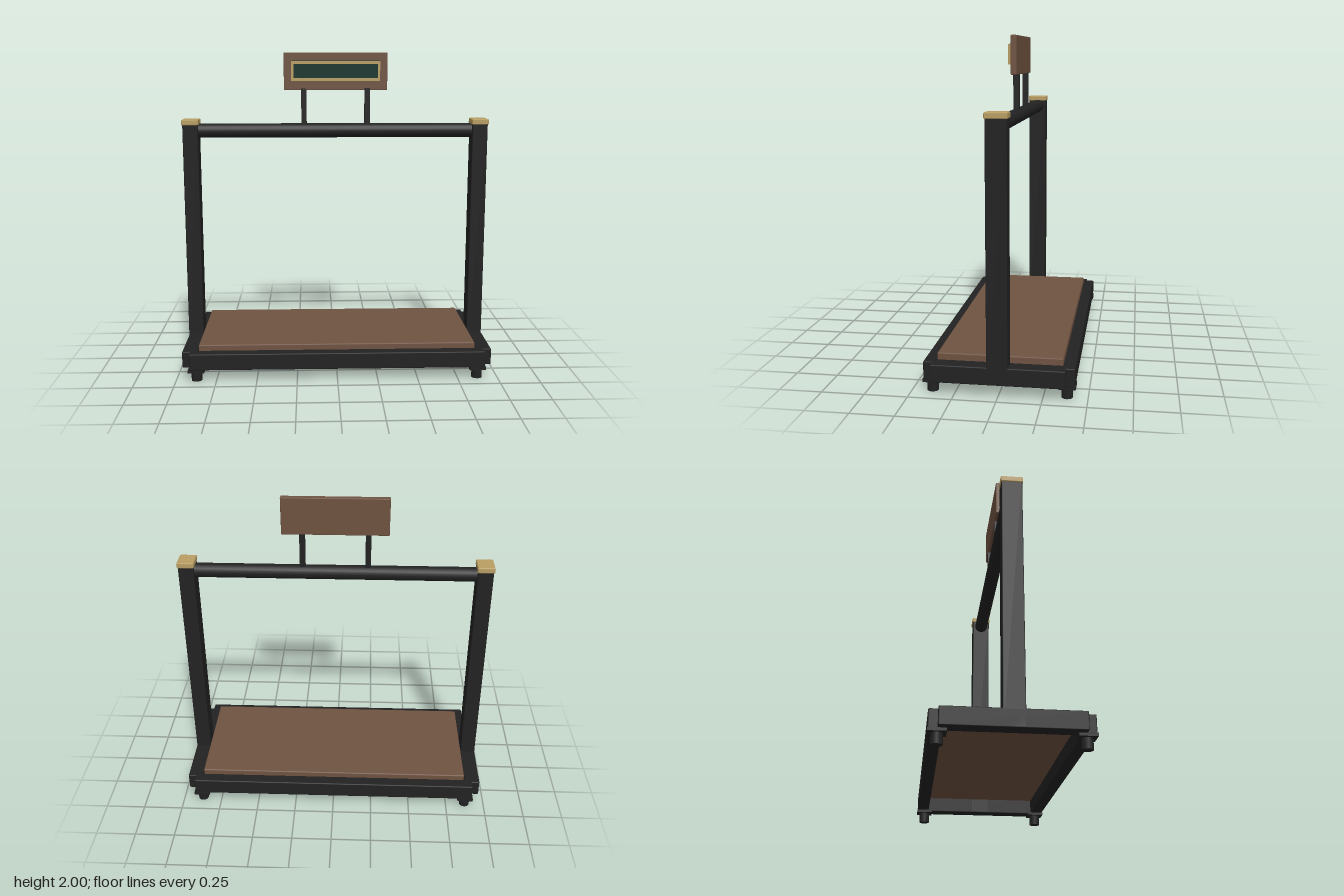
import * as THREE from 'three';
import { RoundedBoxGeometry } from 'three/addons/geometries/RoundedBoxGeometry.js';

function material(name, color) {
  const m = new THREE.MeshStandardMaterial({ color });
  m.name = name;
  return m;
}

export function createModel() {
  const model = new THREE.Group();
  model.name = 'displayRack';

  const black = material('blackMetal', 0x222223);
  const brown = material('brownWood', 0x6f5341);
  const gold = material('paleBrass', 0xb99e63);
  const green = material('darkGreen', 0x0b3027);

  function add(name, geometry, mat, x, y, z) {
    const mesh = new THREE.Mesh(geometry, mat);
    mesh.name = name;
    mesh.position.set(x, y, z);
    model.add(mesh);
    return mesh;
  }
  // Box given by its limits, with an optional softened edge
  function box(name, mat, [x0, x1], [y0, y1], [z0, z1], edge = 0) {
    const size = [x1 - x0, y1 - y0, z1 - z0];
    const geometry = edge
      ? new RoundedBoxGeometry(...size, 1, edge)
      : new THREE.BoxGeometry(...size);
    return add(name, geometry, mat, (x0 + x1) / 2, (y0 + y1) / 2, (z0 + z1) / 2);
  }
  const span = (centre, half) => [centre - half, centre + half];

  // Base frame: long rails front and back, short rails at the sides
  for (const s of [1, -1]) {
    box(s > 0 ? 'frontRail' : 'backRail', black, [-0.915, 0.915], [0.077, 0.18], span(s * 0.393, 0.037), 0.006);
    box(s > 0 ? 'leftRail' : 'rightRail', black, span(s * 0.914, 0.048), [0.077, 0.18], [-0.38, 0.38], 0.006);
  }

  // Feet with mounting plates
  for (const sx of [1, -1]) {
    for (const sz of [1, -1]) {
      box('footPlate', black, span(sx * 0.872, 0.05), [0.06, 0.079], span(sz * 0.383, 0.05));
      add('foot', new THREE.CylinderGeometry(0.033, 0.033, 0.062, 12), black, sx * 0.873, 0.031, sz * 0.383);
    }
  }

  // Wooden deck
  box('deck', brown, [-0.861, 0.861], [0.165, 0.216], [-0.36, 0.36], 0.007);

  // Uprights with brass caps
  for (const s of [1, -1]) {
    box('upright', black, span(s * 0.914, 0.048), [0.08, 1.555], [-0.06, 0.06], 0.005);
    box('uprightCap', gold, span(s * 0.915, 0.053), [1.55, 1.586], [-0.065, 0.065], 0.007);
  }

  // Round hanging bar
  const bar = add('crossBar', new THREE.CylinderGeometry(0.045, 0.045, 1.75, 20), black, 0, 1.513, 0);
  bar.rotation.z = Math.PI / 2;

  // Sign on two stems
  for (const s of [1, -1]) {
    box('signStem', black, span(s * 0.2, 0.017), [1.53, 1.78], [-0.018, 0.018]);
  }
  box('signBoard', brown, [-0.325, 0.325], [1.766, 2], [-0.019, 0.018], 0.005);

  // Framed panel on the sign
  box('signPanel', green, [-0.273, 0.273], [1.828, 1.95], [0.015, 0.033]);
  box('panelFrameTop', gold, [-0.277, 0.277], [1.929, 1.948], [0.015, 0.039]);
  box('panelFrameBottom', gold, [-0.277, 0.277], [1.825, 1.841], [0.015, 0.039]);
  for (const s of [1, -1]) {
    box('panelFrameSide', gold, span(s * 0.271, 0.007), [1.825, 1.948], [0.015, 0.039]);
  }

  return model;
}
